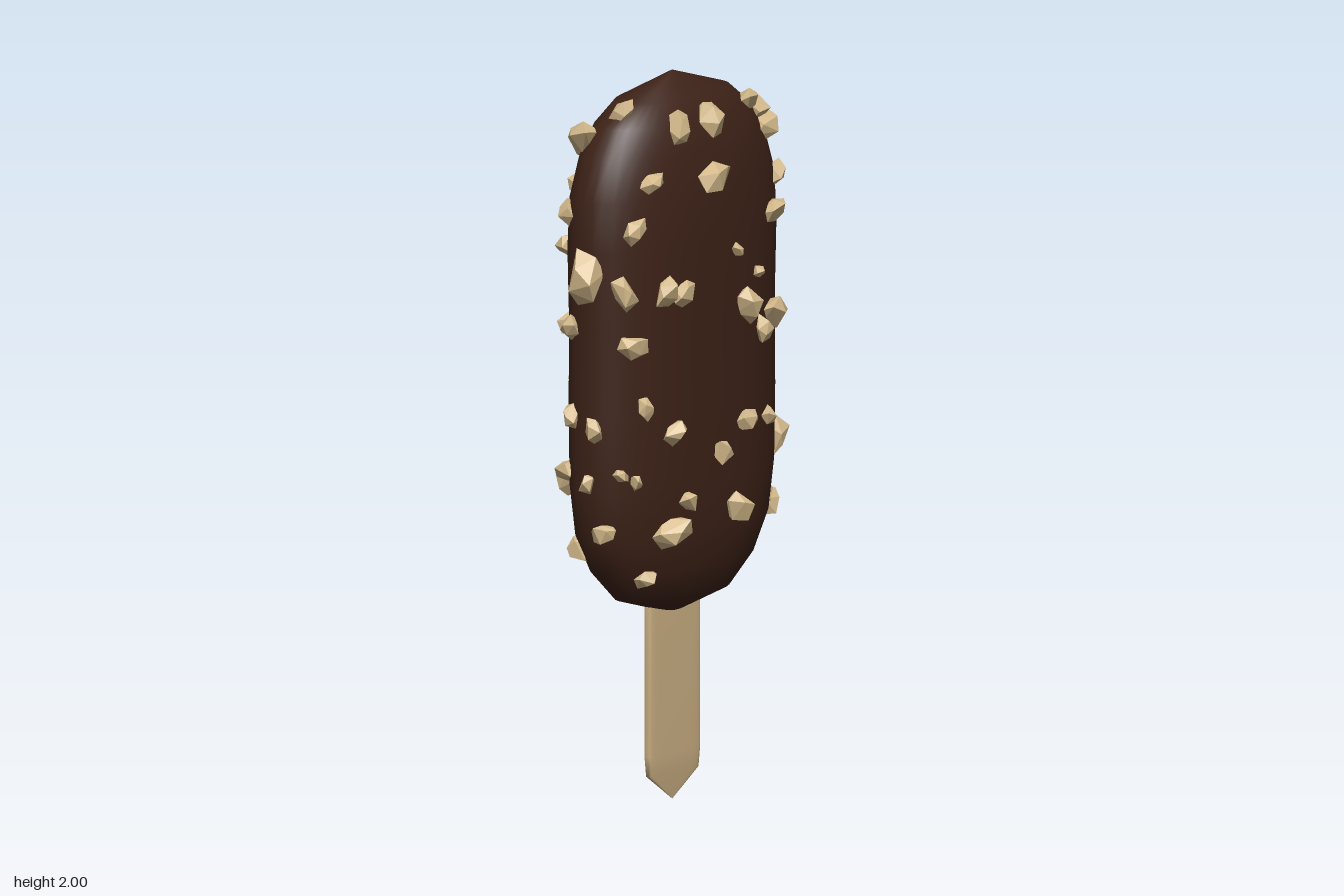
import * as THREE from 'three';
import { ConvexGeometry } from 'three/addons/geometries/ConvexGeometry.js';

// Coating rings: [height, half width, half depth]
const BODY = [
  [0.51, 0, 0], [0.57, 0.2, 0.095], [0.655, 0.285, 0.132], [0.76, 0.338, 0.153], [0.9, 0.358, 0.162],
  [1.1, 0.362, 0.163], [1.35, 0.36, 0.163], [1.55, 0.366, 0.165], [1.69, 0.36, 0.16],
  [1.8, 0.325, 0.146], [1.88, 0.275, 0.123], [1.94, 0.2, 0.09], [2, 0, 0],
];
const STICK = [
  [0, 0, 0], [0.075, 0.1, 0.01], [0.13, 0.104, 0.014], [0.35, 0.104, 0.014], [0.7, 0.104, 0.014], [0.72, 0, 0],
];
const CX = 0.02, CZ = -0.013, POWER = 2.25;

// Nut pieces as [x, y, size]
const FRONT_NUTS = [
  [-0.235, 1.92, 0.036], [-0.09, 1.87, 0.046], [0.03, 1.88, 0.052], [-0.2, 1.74, 0.04], [0.01, 1.73, 0.06],
  [0.24, 1.89, 0.038], [0.32, 1.85, 0.06], [0.33, 1.68, 0.036], [0.28, 1.59, 0.045], [-0.26, 1.615, 0.038],
  [-0.29, 1.45, 0.048], [-0.265, 1.3, 0.042], [-0.165, 1.44, 0.045], [-0.115, 1.43, 0.04], [0.1, 1.515, 0.024],
  [0.2, 1.44, 0.026], [0.14, 1.36, 0.052], [0.28, 1.31, 0.058], [0.22, 1.28, 0.036], [-0.23, 1.125, 0.03],
  [-0.34, 1.07, 0.034], [-0.14, 1.05, 0.04], [-0.29, 0.945, 0.025], [-0.255, 0.925, 0.024], [0.04, 0.97, 0.04],
  [0.14, 1.045, 0.038], [0.25, 1.035, 0.033], [0.36, 0.955, 0.05], [-0.09, 0.855, 0.036], [-0.145, 0.775, 0.058],
  [0.11, 0.81, 0.05], [-0.31, 0.785, 0.036], [-0.19, 0.65, 0.032], [0.35, 0.77, 0.045],
];
const BACK_NUTS = [
  [0.26, 1.82, 0.052], [0.19, 1.89, 0.04], [-0.25, 1.84, 0.065], [0.03, 1.66, 0.05], [-0.19, 1.7, 0.045],
  [0.12, 1.5, 0.06], [-0.03, 1.43, 0.028], [-0.06, 1.33, 0.044], [0.2, 1.4, 0.05], [0.07, 1.23, 0.055],
  [0.13, 1.13, 0.06], [0.28, 1.08, 0.045], [0.2, 0.96, 0.05], [0.05, 0.94, 0.052], [-0.13, 0.86, 0.052],
  [0.09, 0.73, 0.045], [-0.25, 1.33, 0.045], [-0.06, 1.13, 0.036], [-0.15, 1, 0.05], [-0.25, 0.9, 0.046],
  [-0.27, 0.72, 0.038], [-0.2, 1.18, 0.036], [0.27, 1.24, 0.042], [0.02, 1.04, 0.035], [-0.28, 1.55, 0.04],
];
// Nut pieces on the narrow edges as [z, y, size]
const LEFT_NUTS = [
  [0.06, 1.81, 0.048], [-0.09, 1.84, 0.048], [-0.04, 1.3, 0.068], [-0.085, 1.4, 0.044], [-0.1, 1.02, 0.038],
  [-0.1, 0.67, 0.034], [-0.13, 1.22, 0.042], [0.03, 0.78, 0.035],
];
const RIGHT_NUTS = [
  [0, 1.49, 0.068], [-0.08, 1.65, 0.036], [-0.06, 1.34, 0.038], [-0.05, 1.1, 0.036], [-0.1, 0.94, 0.044], [0, 0.92, 0.03],
];

// Smooth skin over superellipse rings
function loft(rows, power, sides) {
  const pos = [], index = [];
  const bend = (v) => Math.sign(v) * Math.abs(v) ** (2 / power);
  rows.forEach(([y, w, d], r) => {
    for (let i = 0; i < sides; i++) {
      const a = (i / sides) * Math.PI * 2, k = r * sides;
      pos.push(bend(Math.cos(a)) * w, y, bend(Math.sin(a)) * d);
      if (r === rows.length - 1) continue;
      const j = (i + 1) % sides;
      index.push(k + i, k + sides + i, k + j, k + j, k + sides + i, k + sides + j);
    }
  });
  const geo = new THREE.BufferGeometry();
  geo.setAttribute('position', new THREE.Float32BufferAttribute(pos, 3));
  geo.setIndex(index);
  geo.computeVertexNormals();
  return geo;
}

// Half width and half depth of the coating at a height
function ringAt(y) {
  const i = Math.max(1, BODY.findIndex((r) => r[0] >= y));
  const [a, b] = [BODY[i - 1], BODY[i]], t = (y - a[0]) / (b[0] - a[0]);
  return [a[1] + (b[1] - a[1]) * t, a[2] + (b[2] - a[2]) * t];
}

// Other semi-axis coordinate on the superellipse
const across = (v, half, other) => other * (1 - Math.min(1, Math.abs(v / half)) ** POWER) ** (1 / POWER);

let seed = 7;
const random = () => {
  seed = (seed * 16807) % 2147483647;
  return seed / 2147483647;
};

// Irregular faceted chip, long in x and thin in z
function chipGeometry(size) {
  const points = [];
  for (let i = 0; i < 11; i++) {
    const u = 1 - (2 * (i + 0.5)) / 11, a = i * 2.4 + random() * 0.9, r = Math.sqrt(1 - u * u);
    const k = size * (0.85 + random() * 0.35);
    points.push(new THREE.Vector3(u * k * 1.1, Math.cos(a) * r * k * 0.75, Math.sin(a) * r * k * 0.8));
  }
  return new ConvexGeometry(points);
}

export function createModel() {
  const model = new THREE.Group();
  const add = (parent, name, geometry, material) => {
    const mesh = new THREE.Mesh(geometry, material);
    mesh.name = name;
    parent.add(mesh);
    return mesh;
  };
  const chocolate = new THREE.MeshStandardMaterial({ color: 0x3d2217 });
  const wood = new THREE.MeshStandardMaterial({ color: 0xc9ae82 });
  const nutMaterial = new THREE.MeshStandardMaterial({ color: 0xd2b88a, flatShading: true });

  // Coating and stick
  add(model, 'chocolateCoating', loft(BODY, POWER, 40), chocolate).position.set(CX, 0, CZ);
  add(model, 'stick', loft(STICK, 6, 32), wood).position.set(CX - 0.002, 0, CZ + 0.003);

  // Nut pieces half sunk into the coating
  const nuts = new THREE.Group();
  nuts.name = 'nutPieces';
  model.add(nuts);
  const outward = new THREE.Vector3(0, 0, 1);
  const placeNut = (x, y, z, w, d, size) => {
    const slope = y > 1.7 ? (y - 1.7) * 3 : y < 0.85 ? (y - 0.85) * 2.5 : 0;
    const normal = new THREE.Vector3(x / (w * w), 0, z / (d * d)).normalize();
    normal.y = slope;
    normal.normalize();
    const nut = add(nuts, 'nutPiece', chipGeometry(size), nutMaterial);
    nut.position.set(x + CX, y, z + CZ).addScaledVector(normal, size * 0.1);
    nut.quaternion.setFromUnitVectors(outward, normal);
    nut.rotateZ(random() * Math.PI);
    nut.rotateY((random() - 0.5) * 0.7);
  };
  for (const [list, side] of [[FRONT_NUTS, 1], [BACK_NUTS, -1]]) {
    for (const [px, y, size] of list) {
      const [w, d] = ringAt(y), x = THREE.MathUtils.clamp(px - CX, -w * 0.985, w * 0.985);
      placeNut(x, y, side * across(x, w, d), w, d, size);
    }
  }
  for (const [list, side] of [[LEFT_NUTS, 1], [RIGHT_NUTS, -1]]) {
    for (const [pz, y, size] of list) {
      const [w, d] = ringAt(y), z = THREE.MathUtils.clamp(pz - CZ, -d * 0.98, d * 0.98);
      placeNut(side * across(z, d, w), y, z, w, d, size);
    }
  }
  return model;
}
